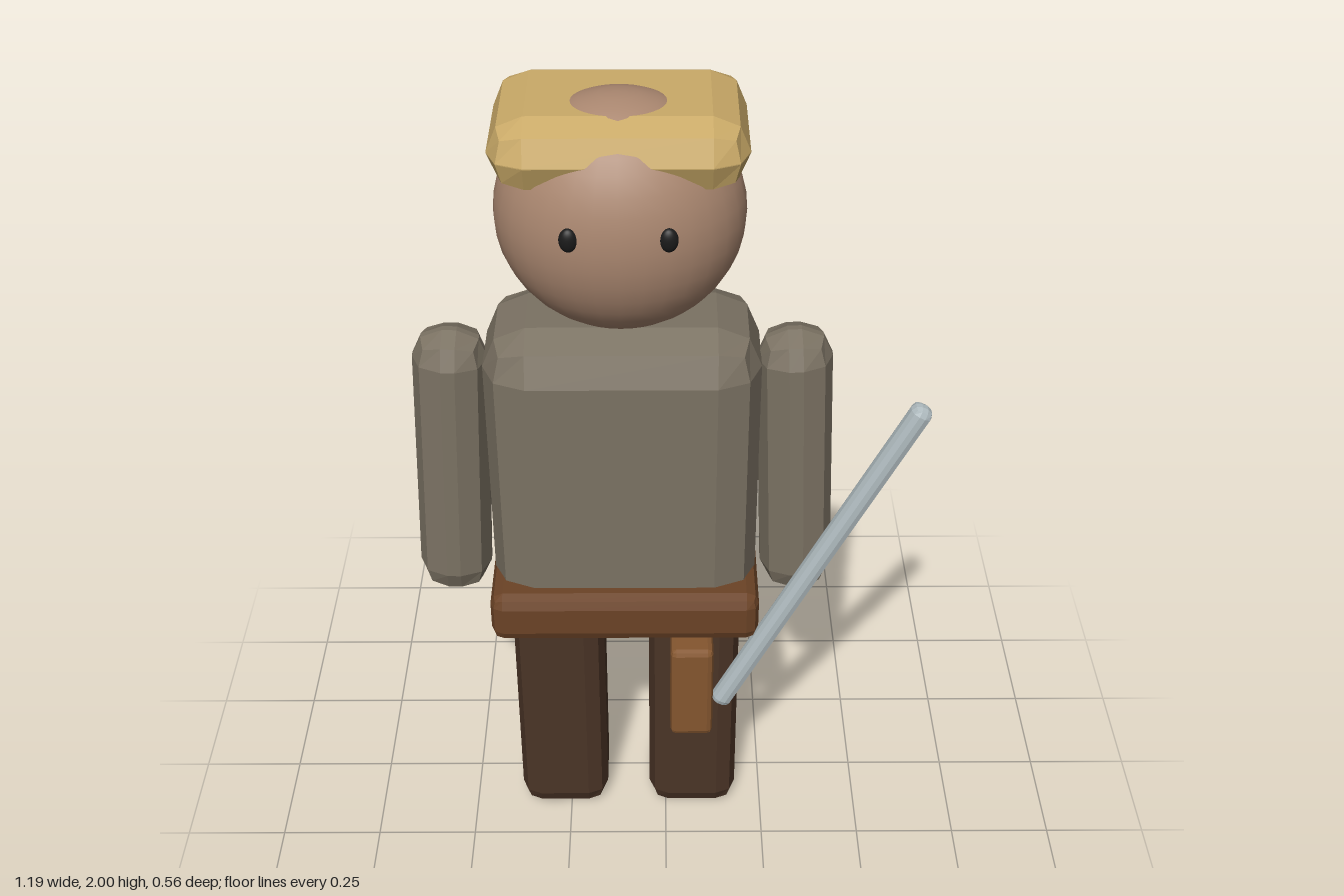
import * as THREE from 'three';
import { RoundedBoxGeometry } from 'three/addons/geometries/RoundedBoxGeometry.js';

const CX = -0.098; // body axis

const mat = (color, flatShading = true) => new THREE.MeshStandardMaterial({ color, flatShading });

export function createModel() {
  const model = new THREE.Group();
  const skin = mat(0xa9866f, false);
  const hair = mat(0xcaaa68);
  const cloth = mat(0x7b7263);
  const trousers = mat(0x4a3426);
  const belt = mat(0x6b4326);
  const leather = mat(0x84562f);
  const steel = mat(0xb0bcc0);
  const black = mat(0x1a1a1a, false);

  const add = (name, geometry, material, x, y, z) => {
    const mesh = new THREE.Mesh(geometry, material);
    mesh.name = name;
    mesh.position.set(x, y, z);
    model.add(mesh);
    return mesh;
  };
  // Box with a coarse two-facet bevel
  const block = (name, material, w, h, d, r, x, y, z) =>
    add(name, new RoundedBoxGeometry(w, h, d, 1, r), material, x, y, z);
  // Stretched sphere
  const ball = (name, material, rx, ry, rz, x, y, z) =>
    add(name, new THREE.SphereGeometry(1, 32, 20).scale(rx, ry, rz), material, x, y, z);

  // Head and hair
  ball('head', skin, 0.272, 0.27, 0.214, CX, 1.73, 0.065);
  block('hairCap', hair, 0.545, 0.16, 0.387, 0.079, CX, 1.9, 0.027);
  block('ponytail', hair, 0.144, 0.47, 0.147, 0.071, CX, 1.64, -0.208);

  // Body
  block('torso', cloth, 0.625, 0.77, 0.35, 0.1, CX, 1.085, 0.05);
  block('belt', belt, 0.637, 0.13, 0.428, 0.03, CX, 0.745, 0.06);

  // Paired parts, mirrored about the body axis
  for (const [side, s] of [['right', -1], ['left', 1]]) {
    ball(side + 'Eye', black, 0.02, 0.027, 0.014, CX + s * 0.103, 1.76, 0.259);
    block(side + 'Leg', trousers, 0.225, 0.76, 0.22, 0.05, CX + s * 0.168, 0.38, 0.05);
    const arm = block(side + 'Arm', cloth, 0.172, 0.724, 0.157, 0.07, CX + s * 0.402, 1.068, 0.06);
    arm.rotation.z = s * 0.042;
  }

  // Scabbard and slanted blade
  block('scabbard', leather, 0.105, 0.275, 0.09, 0.014, 0.0635, 0.4825, 0.2);
  const blade = block('blade', steel, 0.05, 0.99, 0.05, 0.018, 0.3535, 0.867, 0.201);
  blade.rotation.z = -0.464;

  return model;
}
